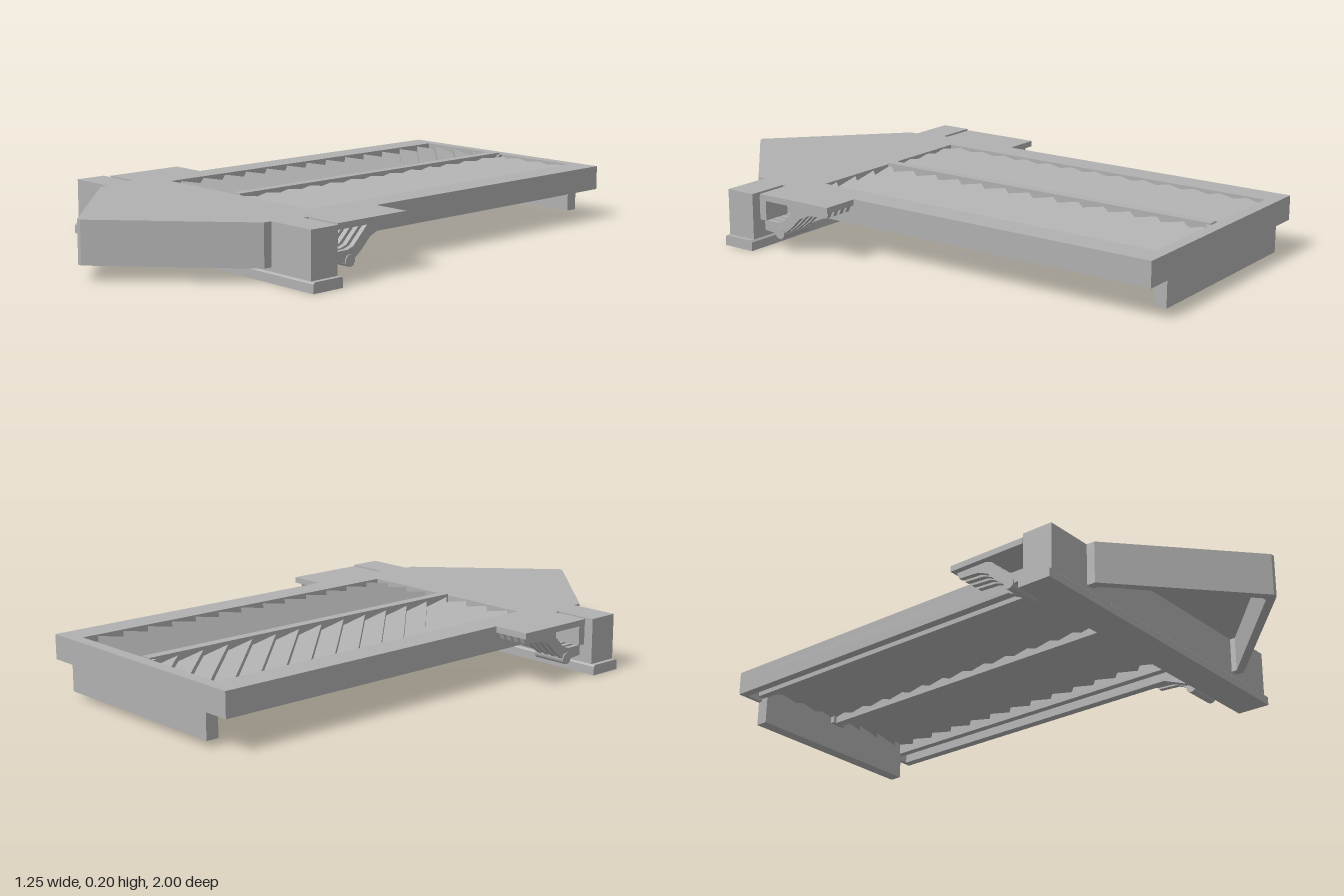
import * as THREE from 'three';

export function createModel() {
  const model = new THREE.Group();
  const grey = new THREE.MeshStandardMaterial({ color: 0xb0b0b0 });
  grey.name = 'plain grey';

  const add = (name, geometry) => {
    const mesh = new THREE.Mesh(geometry, grey);
    mesh.name = name;
    model.add(mesh);
  };
  const box = (name, x0, x1, y0, y1, z0, z1) => {
    const g = new THREE.BoxGeometry(x1 - x0, y1 - y0, z1 - z0);
    add(name, g.translate((x0 + x1) / 2, (y0 + y1) / 2, (z0 + z1) / 2));
  };
  // Plan outline of [x, z] points, raised from y0 to y1; the hole winds the other way
  const slabGeometry = (points, y0, y1, hole) => {
    const toVec = ([x, z]) => new THREE.Vector2(x, -z);
    const shape = new THREE.Shape(points.map(toVec));
    if (hole) shape.holes.push(new THREE.Path(hole.map(toVec).reverse()));
    const g = new THREE.ExtrudeGeometry(shape, { depth: y1 - y0, bevelEnabled: false });
    return g.rotateX(-Math.PI / 2).translate(0, y0, 0);
  };
  // Side profile of [z, y] points, extruded from x0 to x1
  const profile = (name, points, x0, x1) => {
    const shape = new THREE.Shape(points.map(([z, y]) => new THREE.Vector2(z, y)));
    const g = new THREE.ExtrudeGeometry(shape, { depth: x1 - x0, bevelEnabled: false });
    add(name, g.rotateY(-Math.PI / 2).translate(x1, 0, 0));
  };
  const rect = (x, z0, z1) => [[-x, z0], [x, z0], [x, z1], [-x, z1]];
  const mirrored = (half) => [...half, ...half.map(([x, z]) => [-x, z]).reverse()];

  const TOP = 0.196, UNDER = 0.175;
  const PANEL_X = 0.358, PANEL_BACK = -0.957, PANEL_FRONT = 0.36;

  // Top skin with the long panel opening
  const outline = mirrored([
    [0.457, -1], [0.457, 0.15], [0.592, 0.15], [0.592, 0.45], [0.457, 0.45],
    [0.457, 0.468], [0.61, 0.468], [0.61, 0.58], [0.43, 0.58], [0.43, 0.61], [0.008, 1],
  ]);
  const opening = rect(PANEL_X, PANEL_BACK, PANEL_FRONT);
  add('topPlate', slabGeometry(outline, UNDER, TOP, opening));

  // Hollow walls beneath the skin
  add('deckOuterWall', slabGeometry(rect(0.457, -1, 0.468), 0.11, UNDER, rect(0.425, -0.985, 0.44)));
  add('panelInnerWall', slabGeometry(rect(0.385, -0.975, 0.385), 0.12, UNDER, opening));
  add('noseWall', slabGeometry(
    mirrored([[0.43, 0.5], [0.43, 0.61], [0.008, 1]]), 0.05, UNDER,
    mirrored([[0.4, 0.53], [0.4, 0.6], [0.008, 0.96]])));
  box('rearFlap', -0.36, 0.36, 0.02, 0.12, -1, -0.955);

  // Cross beam with a shallow chamfer along its upper edges, and the wall above it
  profile('crossBeam', [
    [0.462, 0], [0.585, 0], [0.585, 0.03], [0.579, 0.036], [0.468, 0.036], [0.462, 0.03],
  ], -0.627, 0.627);
  box('beamWall', -0.61, 0.61, 0.036, UNDER, 0.468, 0.58);

  // Overlapping slats: strips of constant z + |x|, clipped to the opening
  const clip = (poly, f) => poly.flatMap((a, i) => {
    const b = poly[(i + 1) % poly.length];
    const fa = f(a), fb = f(b), out = [];
    if (fa >= 0) out.push(a);
    if (fa * fb < 0) {
      const t = fa / (fa - fb);
      out.push([a[0] + (b[0] - a[0]) * t, a[1] + (b[1] - a[1]) * t]);
    }
    return out;
  });
  const panel = [
    [0.015, PANEL_BACK], [PANEL_X, PANEL_BACK], [PANEL_X, PANEL_FRONT], [0.015, PANEL_FRONT],
  ];
  const pitch = 0.1, width = 0.11, slope = 0.2;
  for (const side of [-1, 1]) {
    for (let c = -1.04; c < 0.72; c += pitch) {
      let poly = clip(panel, ([x, z]) => x + z - c);
      poly = clip(poly, ([x, z]) => c + width - x - z);
      if (poly.length < 3) continue;
      const g = slabGeometry(poly.map(([x, z]) => [x * side, z]), 0, 0.022);
      const p = g.attributes.position;
      // Both panels tilt the same way round, so one rises and the other falls
      for (let i = 0; i < p.count; i++) {
        const s = p.getZ(i) + Math.abs(p.getX(i)) - c - width / 2;
        p.setY(i, p.getY(i) + 0.157 - side * slope * s);
      }
      g.computeVertexNormals();
      add('louverSlat', g);
    }
  }

  // Centre bar between the two slat panels
  box('centreBar', -0.018, 0.018, 0.125, 0.201, PANEL_BACK, PANEL_FRONT);
  box('centreBarEnd', -0.03, 0.03, 0.125, TOP - 0.001, -0.965, -0.94);

  // Links, skirts and curved arm ribs on both sides
  const rib = [
    [0.45, 0.1], [0.39, 0.1], [0.365, 0.108], [0.335, 0.138], [0.305, 0.168], [0.27, 0.18],
    [0.155, 0.185], [0.17, 0.152], [0.25, 0.147], [0.29, 0.13], [0.33, 0.09], [0.36, 0.068],
    [0.395, 0.06], [0.45, 0.065],
  ];
  const skirt = [
    [0.22, 0.115], [0.28, 0.11], [0.4, 0.062], [0.48, 0.05], [0.48, UNDER], [0.22, UNDER],
  ];
  for (const s of [-1, 1]) {
    const span = (a, b) => (s > 0 ? [a, b] : [-b, -a]);
    box('bracketLink', ...span(0.47, 0.575), 0.1, 0.18, 0.44, 0.475);
    profile('sideSkirt', skirt, ...span(0.425, 0.456));
    for (const x of [0.46, 0.491, 0.522, 0.553]) profile('armRib', rib, ...span(x, x + 0.018));
    const rod = new THREE.CylinderGeometry(0.02, 0.02, 0.13, 16).rotateZ(Math.PI / 2);
    add('armRod', rod.translate(s * 0.51, 0.065, 0.38));
  }
  return model;
}
